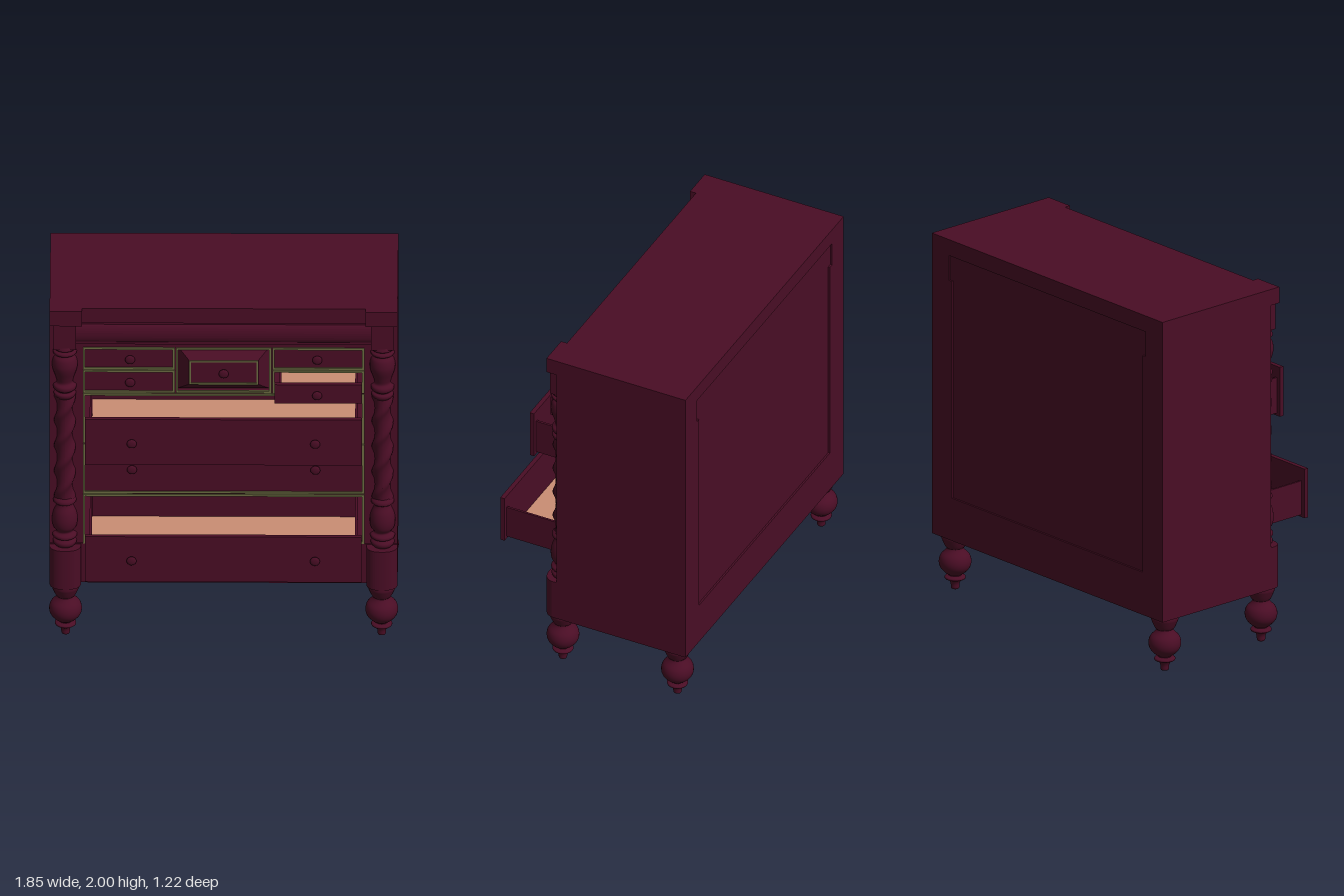
import * as THREE from 'three';

const maroon = new THREE.MeshStandardMaterial({ color: 0x4a0d25 });
maroon.name = 'maroonWood';
const olive = new THREE.MeshStandardMaterial({ color: 0x6d6d42 });
olive.name = 'oliveTrim';
const tan = new THREE.MeshStandardMaterial({ color: 0xcb8e74 });
tan.name = 'tanLining';

export function createModel() {
  const model = new THREE.Group();
  model.name = 'chestOfDrawers';

  const add = (name, geo, mat = maroon, parent = model) => {
    const m = new THREE.Mesh(geo, mat);
    m.name = name;
    parent.add(m);
    return m;
  };
  // Box given by its limits
  const box = (name, x0, x1, y0, y1, z0, z1, mat = maroon, parent = model) => {
    const m = add(name, new THREE.BoxGeometry(x1 - x0, y1 - y0, z1 - z0), mat, parent);
    m.position.set((x0 + x1) / 2, (y0 + y1) / 2, (z0 + z1) / 2);
    return m;
  };
  const rect = (Type, x0, x1, y0, y1) => new Type([[x0, y0], [x1, y0], [x1, y1], [x0, y1]]
    .map(([x, y]) => new THREE.Vector2(x, y)));
  const extrude = (shape, depth) =>
    new THREE.ExtrudeGeometry(shape, { depth, bevelEnabled: false, curveSegments: 10 });
  // Turned piece from [radius, height] points, smoothed by a spline
  const turned = (pts, n = 48, segs = 28) => {
    const curve = new THREE.CatmullRomCurve3(pts.map(([r, y]) => new THREE.Vector3(r, y, 0)), false, 'centripetal');
    return new THREE.LatheGeometry(curve.getPoints(n).map(p => new THREE.Vector2(Math.max(p.x, 0), p.y)), segs);
  };
  // Rectangular picture-frame moulding
  const frame = (name, [x0, x1, y0, y1], z0, z1, w = 0.006) => {
    const s = rect(THREE.Shape, x0 - w, x1 + w, y0 - w, y1 + w);
    s.holes.push(rect(THREE.Path, x0 + w, x1 - w, y0 + w, y1 - w));
    add(name, extrude(s, z1 - z0), olive).position.z = z0;
  };

  // Carcass
  box('plinth', -0.92, 0.92, 0.31, 0.55, -0.61, 0.16);
  box('backPanel', -0.8, 0.8, 0.54, 1.92, -0.6, -0.585);
  box('topSlab', -0.92, 0.92, 1.91, 2, -0.61, 0.18);
  box('upperCase', -0.785, 0.785, 1.765, 1.91, -0.59, 0.15);

  // Cushion-shaped cornice rail
  const c = new THREE.Shape();
  c.moveTo(0.1, 1.77);
  c.lineTo(0.162, 1.77);
  c.lineTo(0.162, 1.785);
  c.bezierCurveTo(0.187, 1.795, 0.187, 1.87, 0.162, 1.892);
  c.lineTo(0.162, 1.91);
  c.lineTo(0.1, 1.91);
  const cornice = add('corniceRail', extrude(c, 1.56));
  cornice.rotation.y = -Math.PI / 2;
  cornice.position.x = 0.78;
  cornice.scale.z = 1;

  // Turned profiles
  const lowerVase = [[0.05, 0.545], [0.062, 0.56], [0.062, 0.575], [0.048, 0.59], [0.064, 0.6], [0.064, 0.615],
    [0.045, 0.63], [0.062, 0.66], [0.068, 0.7], [0.06, 0.75], [0.043, 0.79], [0.043, 0.8],
    [0.06, 0.81], [0.06, 0.825], [0.045, 0.84]];
  const upperVase = [[0.045, 1.45], [0.058, 1.465], [0.058, 1.48], [0.045, 1.49], [0.06, 1.505], [0.06, 1.525],
    [0.043, 1.54], [0.048, 1.57], [0.064, 1.62], [0.068, 1.65], [0.06, 1.69], [0.045, 1.71],
    [0.062, 1.72], [0.062, 1.733], [0.047, 1.742], [0.06, 1.75], [0.055, 1.77]];
  const legProfile = [[0, 0], [0.02, 0.002], [0.024, 0.03], [0.034, 0.05], [0.055, 0.06], [0.055, 0.07],
    [0.036, 0.08], [0.055, 0.095], [0.08, 0.125], [0.087, 0.157], [0.078, 0.19], [0.05, 0.22], [0.044, 0.232],
    [0.052, 0.24], [0.07, 0.28], [0.074, 0.292], [0.074, 0.315]];
  const lowerGeo = turned(lowerVase, 64);
  const upperGeo = turned(upperVase, 72);
  const legGeo = turned(legProfile, 64);

  // Column shaft with two spiral ridges
  const shaftGeo = new THREE.LatheGeometry(
    Array.from({ length: 61 }, (_, i) => new THREE.Vector2(0.045, 0.835 + i * 0.0104)), 32);
  const p = shaftGeo.attributes.position;
  for (let i = 0; i < p.count; i++) {
    const x = p.getX(i), y = p.getY(i), z = p.getZ(i);
    const a = Math.atan2(x, z) - (y - 1.07) * 2 * Math.PI / 0.31;
    const r = 0.041 + 0.017 * Math.pow(Math.cos(a), 4);
    p.setX(i, x / 0.045 * r);
    p.setZ(i, z / 0.045 * r);
  }
  shaftGeo.computeVertexNormals();

  // Rounded pedestal cross-section (depth runs along -y of the shape)
  const ped = new THREE.Shape();
  ped.moveTo(-0.0825, 0);
  ped.lineTo(-0.0825, -0.185);
  ped.bezierCurveTo(-0.075, -0.225, -0.045, -0.24, 0, -0.24);
  ped.bezierCurveTo(0.045, -0.24, 0.075, -0.225, 0.0825, -0.185);
  ped.lineTo(0.0825, 0);
  const pedGeo = extrude(ped, 0.235);

  // Corner assemblies, both sides
  for (const [side, s] of [['left', 1], ['right', -1]]) {
    const span = (name, a, b, ...rest) => box(side + name, Math.min(a * s, b * s), Math.max(a * s, b * s), ...rest);
    span('SidePanel', 0.76, 0.92, 0.55, 1.77, -0.61, 0.155);
    span('UpperSidePanel', 0.785, 0.92, 1.77, 1.91, -0.61, 0.155);
    span('TopCorner', 0.75, 0.92, 1.91, 2, 0.1, 0.215);
    span('ColumnCap', 0.78, 0.9, 1.76, 1.91, 0.1, 0.205);
    const pedestal = add(side + 'Pedestal', pedGeo);
    pedestal.rotation.x = -Math.PI / 2;
    pedestal.position.set(0.8375 * s, 0.31, 0);
    const column = new THREE.Group();
    column.name = side + 'Column';
    column.position.set(0.84 * s, 0, 0.155);
    add('lowerVase', lowerGeo, maroon, column);
    add('twistedShaft', shaftGeo, maroon, column);
    add('upperVase', upperGeo, maroon, column);
    model.add(column);
    for (const [end, z] of [['Front', 0.16], ['Back', -0.52]])
      add(side + end + 'Leg', legGeo).position.set(0.836 * s, 0, z);
  }

  // Drawers: opening [x0, x1, y0, y1], pull-out distance, knob positions, box height
  const big = [-0.485, 0.485];
  const drawers = [
    { name: 'bottomDrawer', o: [-0.738, 0.738, 0.556, 0.844], out: 0.43, knobs: big, h: 0.19 },
    { name: 'middleDrawer', o: [-0.738, 0.738, 0.862, 1.152], out: 0, knobs: big },
    { name: 'upperDrawer', o: [-0.738, 0.738, 1.17, 1.46], out: 0.255, knobs: big, h: 0.2 },
    { name: 'leftLowerSmallDrawer', o: [0.264, 0.738, 1.478, 1.604], out: 0.133, knobs: [0.495], h: 0.075 },
    { name: 'leftUpperSmallDrawer', o: [0.264, 0.738, 1.62, 1.742], out: 0, knobs: [0.495] },
    { name: 'rightLowerSmallDrawer', o: [-0.738, -0.264, 1.478, 1.604], out: 0, knobs: [-0.495] },
    { name: 'rightUpperSmallDrawer', o: [-0.738, -0.264, 1.62, 1.742], out: 0, knobs: [-0.495] },
  ];
  const centre = [-0.247, 0.247, 1.478, 1.742];

  // Face frame, dust boards and partitions
  const face = rect(THREE.Shape, -0.762, 0.762, 0.54, 1.775);
  for (const o of [...drawers.map(d => d.o), centre]) face.holes.push(rect(THREE.Path, ...o));
  add('faceFrame', extrude(face, 0.02)).position.z = 0.135;
  for (const y of [0.853, 1.161, 1.469])
    box('dustBoard', -0.762, 0.762, y - 0.006, y + 0.006, -0.59, 0.14);
  for (const s of [-1, 1]) {
    box('partition', s * 0.2555 - 0.006, s * 0.2555 + 0.006, 1.469, 1.77, -0.59, 0.14);
    box('smallDustBoard', s * 0.51 - 0.25, s * 0.51 + 0.25, 1.607, 1.617, -0.59, 0.14);
  }

  const knobGeo = turned([[0.014, 0], [0.01, 0.008], [0.012, 0.012], [0.025, 0.015], [0.026, 0.02],
    [0.016, 0.026], [0, 0.028]], 24, 20);
  const knob = (x, y, z, parent) => {
    const k = add('knob', knobGeo, maroon, parent);
    k.rotation.x = Math.PI / 2;
    k.position.set(x, y, z);
  };

  for (const { name, o, out, knobs, h } of drawers) {
    const [x0, x1, y0, y1] = o;
    frame(name + 'Trim', o, 0.15, 0.162);
    const g = new THREE.Group();
    g.name = name;
    g.position.z = out;
    model.add(g);
    const e = 0.006;
    box('drawerFront', x0 + e, x1 - e, y0 + e, y1 - e, 0.13, 0.155, maroon, g);
    for (const x of knobs) knob(x, (y0 + y1) / 2, 0.154, g);
    if (!out) continue;
    // Open drawer box with lined floor
    const l = x0 + 0.03, r = x1 - 0.03, b = y0 + 0.02, t = b + h, back = -0.5;
    box('drawerSide', l, l + 0.012, b, t, back, 0.131, maroon, g);
    box('drawerSide', r - 0.012, r, b, t, back, 0.131, maroon, g);
    box('drawerBack', l, r, b, t, back, back + 0.012, maroon, g);
    box('drawerFloor', l + 0.012, r - 0.012, b + 0.002, b + 0.012, back + 0.012, 0.131, tan, g);
  }

  // Raised centre door with sloping borders
  frame('centreTrim', centre, 0.15, 0.162);
  const [cx, cy] = [0, 1.61];
  let slope = new THREE.BoxGeometry(0.482, 0.252, 0.05);
  const q = slope.attributes.position;
  for (let i = 0; i < q.count; i++) if (q.getZ(i) > 0) {
    q.setX(i, q.getX(i) * 0.76);
    q.setY(i, q.getY(i) * 0.58);
  }
  slope = slope.toNonIndexed();
  slope.computeVertexNormals();
  add('centrePanel', slope).position.set(cx, cy, 0.155);
  frame('centreInnerTrim', [-0.178, 0.178, 1.542, 1.678], 0.172, 0.186, 0.005);
  knob(cx, cy, 0.178, model);

  return model;
}
